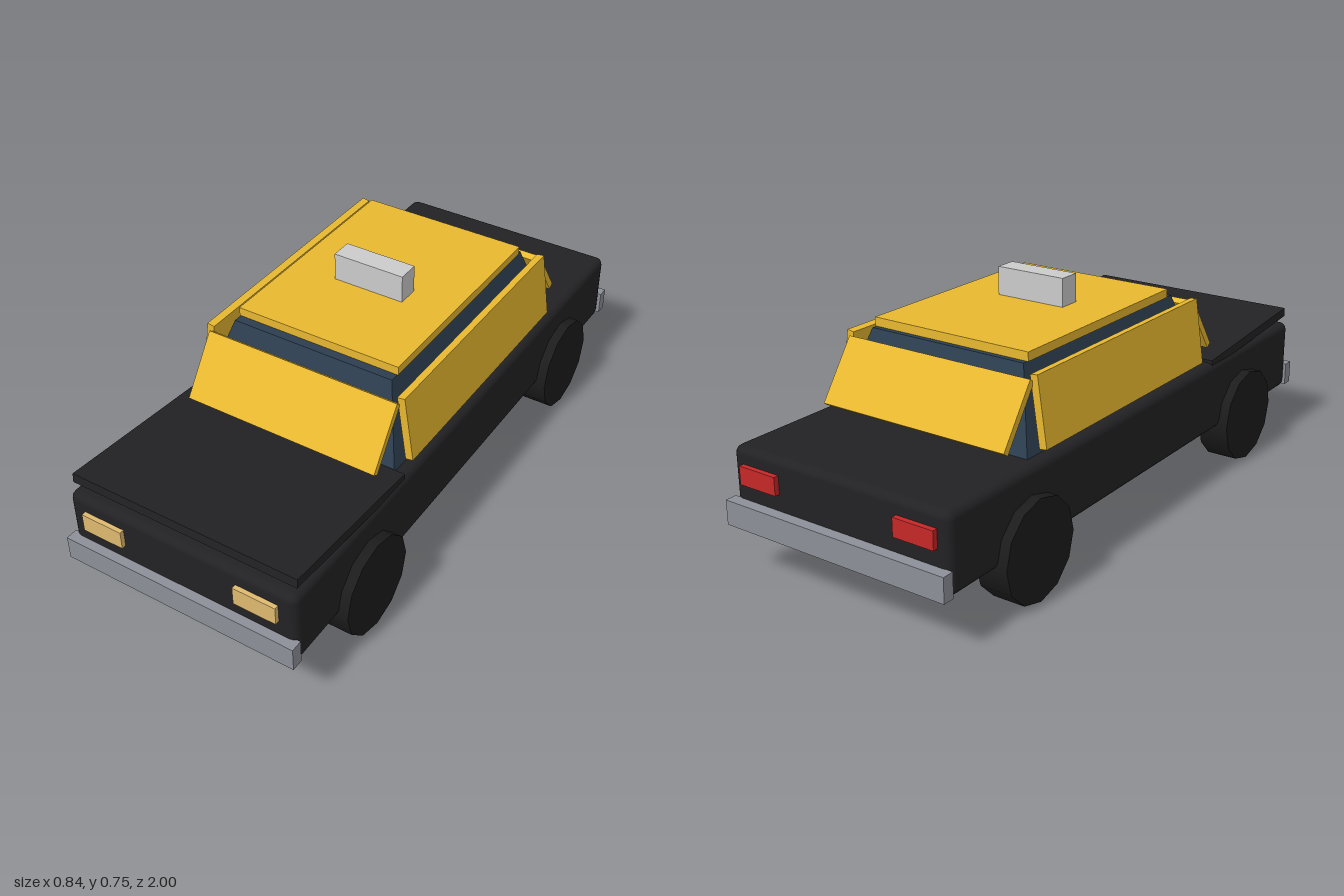
import * as THREE from 'three';
import { RoundedBoxGeometry } from 'three/addons/geometries/RoundedBoxGeometry.js';

const mat = (color) => new THREE.MeshStandardMaterial({ color });

export function createModel() {
  const car = new THREE.Group();
  car.name = 'car';

  const black = mat(0x222224);
  const tyre = mat(0x1c1c1c);
  const yellow = mat(0xe8b830);
  const navy = mat(0x2c3e50);
  const steel = mat(0x8c9098);
  const amber = mat(0xdfba70);
  const red = mat(0xc62828);
  const grey = mat(0xcccccc);
  navy.flatShading = true;

  const add = (name, geometry, material, x, y, z) => {
    const mesh = new THREE.Mesh(geometry, material);
    mesh.name = name;
    mesh.position.set(x, y, z);
    car.add(mesh);
    return mesh;
  };
  const box = (name, material, w, h, d, x, y, z) =>
    add(name, new THREE.BoxGeometry(w, h, d), material, x, y, z);

  // Lower body with small bevels
  add('body', new RoundedBoxGeometry(0.78, 0.242, 1.935, 2, 0.025), black, 0, 0.275, 0.003);

  // Hood, hinged slightly open at the windshield
  box('hood', black, 0.766, 0.03, 0.54, 0, 0.414, 0.68).rotation.x = -0.085;

  // Cabin: a box tapered towards the roof
  const cabin = new THREE.BoxGeometry(0.70, 0.245, 0.99);
  const p = cabin.attributes.position;
  for (let i = 0; i < p.count; i++) {
    if (p.getY(i) > 0) {
      p.setX(i, p.getX(i) * 0.79);
      p.setZ(i, p.getZ(i) * 0.81 - 0.008);
    }
  }
  cabin.computeVertexNormals();
  add('cabin', cabin, navy, 0, 0.5135, -0.083);

  // Roof panel and the sign on it
  box('roof', yellow, 0.56, 0.028, 0.755, 0, 0.65, -0.097);
  box('roofSign', grey, 0.242, 0.092, 0.072, 0, 0.709, -0.04);

  // Leaning panels at the front and rear of the cabin
  box('frontPanel', yellow, 0.66, 0.215, 0.022, 0, 0.518, 0.421).rotation.x = -0.607;
  box('rearPanel', yellow, 0.66, 0.215, 0.022, 0, 0.518, -0.587).rotation.x = 0.607;

  for (const s of [1, -1]) {
    const side = s > 0 ? 'left' : 'right';

    // Leaning side panel
    box(side + 'SidePanel', yellow, 0.025, 0.215, 0.88, s * 0.35, 0.518, -0.085).rotation.z = s * 0.146;

    // Lamps
    box(side + 'Headlight', amber, 0.14, 0.06, 0.03, s * 0.263, 0.318, 0.97);
    box(side + 'TailLight', red, 0.136, 0.057, 0.03, s * 0.281, 0.318, -0.966);

    // Wheels
    for (const [end, z] of [['Front', 0.618], ['Rear', -0.615]]) {
      const wheel = new THREE.CylinderGeometry(0.158, 0.158, 0.105, 12);
      add(side + end + 'Wheel', wheel, tyre, s * 0.37, 0.158, z).rotation.z = Math.PI / 2;
    }
  }

  // Bumpers
  box('frontBumper', steel, 0.79, 0.077, 0.038, 0, 0.199, 0.981);
  box('rearBumper', steel, 0.79, 0.077, 0.038, 0, 0.199, -0.981);

  return car;
}
